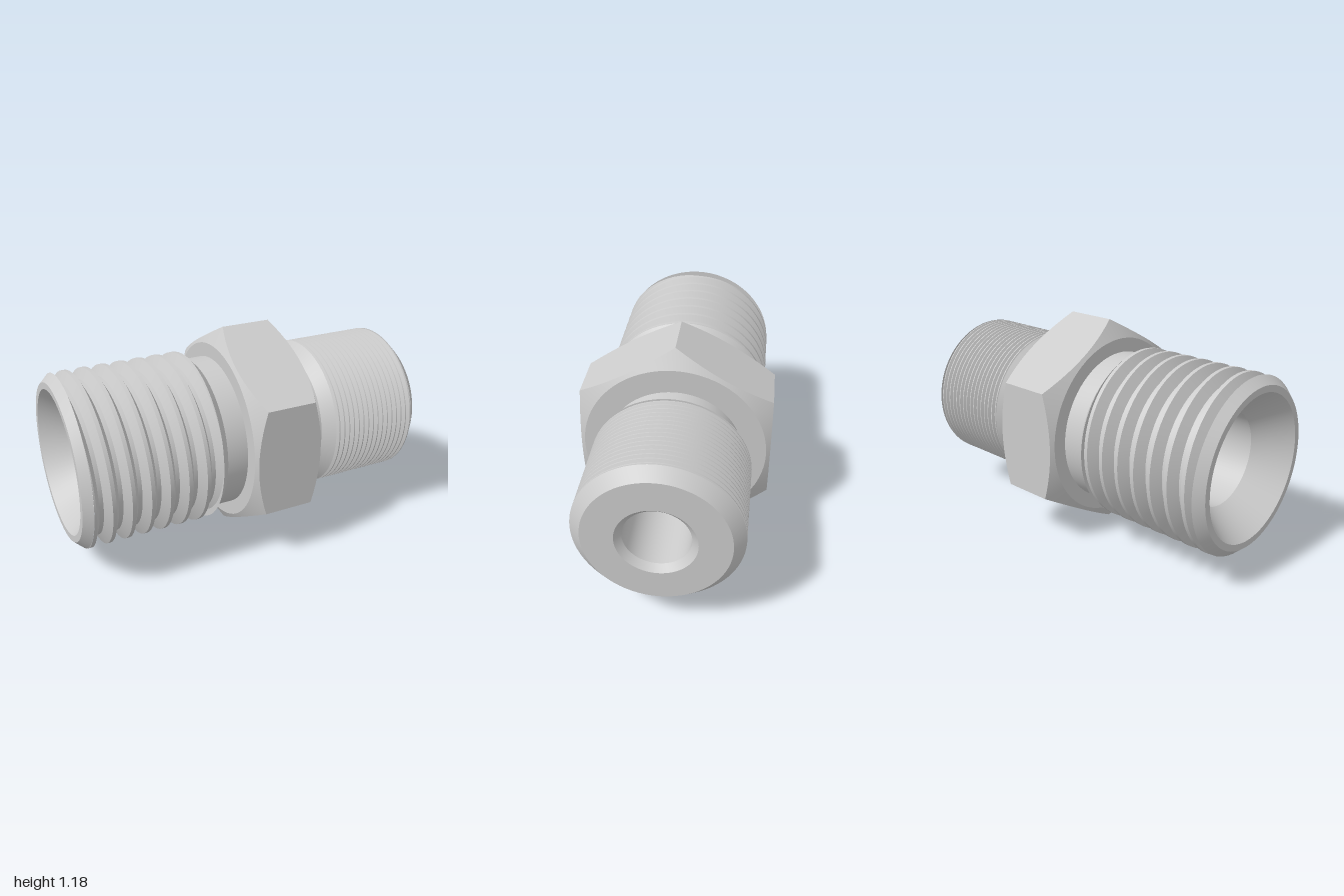
import * as THREE from 'three';
import { toCreasedNormals } from 'three/addons/utils/BufferGeometryUtils.js';

const SEGS = 72;
const AXIS_Y = 0.59;

export function createModel() {
  const group = new THREE.Group();
  const material = new THREE.MeshStandardMaterial({ color: 0xcccccc });

  const add = (name, geometry) => {
    const mesh = new THREE.Mesh(toCreasedNormals(geometry, 0.4), material);
    mesh.name = name;
    mesh.position.y = AXIS_Y;
    group.add(mesh);
  };

  // Revolves [x, radius] points around the x axis; outside runs towards +x, bores towards -x
  const revolve = (name, points) => {
    const profile = points.map(([x, r]) => new THREE.Vector2(r, x));
    add(name, new THREE.LatheGeometry(profile, SEGS).rotateZ(-Math.PI / 2));
  };

  // Skin over rows of rings, where ring(row, angle) gives [x, radius]
  const skin = (name, rows, ring) => {
    const positions = [];
    const point = (row, j) => {
      const angle = (j / SEGS) * Math.PI * 2;
      const [x, r] = ring(row, angle);
      return [x, r * Math.cos(angle), r * Math.sin(angle)];
    };
    for (let i = 0; i < rows.length - 1; i++) {
      for (let j = 0; j < SEGS; j++) {
        const a = point(rows[i], j), b = point(rows[i], j + 1);
        const c = point(rows[i + 1], j), d = point(rows[i + 1], j + 1);
        const same = (p, q) => Math.hypot(p[0] - q[0], p[1] - q[1], p[2] - q[2]) < 1e-6;
        if (!same(a, c)) positions.push(...a, ...b, ...c);
        if (!same(b, d)) positions.push(...b, ...d, ...c);
      }
    }
    const geometry = new THREE.BufferGeometry();
    geometry.setAttribute('position', new THREE.Float32BufferAttribute(positions, 3));
    add(name, geometry);
  };

  // Right-hand helical thread between x0 and x1, with a crest at crestX on top
  const thread = (name, { x0, x1, root, crest, pitch, crestX, crestFlat, rootFlat }) => {
    const radiusAt = (s) => {
      const t = (s - crestX) / pitch;
      const d = Math.abs(t - Math.round(t)) * pitch;
      const k = (d - crestFlat / 2) / (pitch / 2 - crestFlat / 2 - rootFlat / 2);
      return crest + (root - crest) * THREE.MathUtils.clamp(k, 0, 1);
    };
    const rows = [];
    const first = Math.floor((x0 - crestX) / pitch) - 2;
    const last = Math.ceil((x1 - crestX) / pitch) + 1;
    for (let n = first; n <= last; n++) {
      const c = crestX + n * pitch;
      rows.push(c - crestFlat / 2, c + crestFlat / 2,
        c + pitch / 2 - rootFlat / 2, c + pitch / 2 + rootFlat / 2);
    }
    skin(name, rows, (s, angle) => {
      const lead = (pitch * angle) / (Math.PI * 2);
      const x = THREE.MathUtils.clamp(s + lead, x0, x1);
      return [x, radiusAt(x - lead)];
    });
  };

  // Coarse threaded end: chamfered lip, thread, run-out and collar
  revolve('coarseEndLip', [[-1, 0.385], [-1, 0.42], [-0.955, 0.462], [-0.955, 0.4]]);
  thread('coarseThread', {
    x0: -0.955, x1: -0.27, root: 0.408, crest: 0.464,
    pitch: 0.1, crestX: -0.88, crestFlat: 0.02, rootFlat: 0.022,
  });
  revolve('coarseCollar', [[-0.27, 0.4], [-0.27, 0.46], [-0.225, 0.414], [-0.11, 0.414]]);

  // Hexagonal nut section with turned chamfers on both faces
  const hexRadius = (angle) => {
    const sector = Math.PI / 3;
    const a = angle - Math.floor(angle / sector + 1e-9) * sector;
    return 0.511 / Math.cos(a - sector / 2);
  };
  const faceR = 0.49, left = -0.11, right = 0.285;
  skin('hexagon', [0, 1, 2, 3, 4, 5], (row, angle) => {
    const r = hexRadius(angle);
    const setback = (r - faceR) * 0.6;
    return [
      [left, 0.4], [left, faceR], [left + setback, r],
      [right - setback, r], [right, faceR], [right, 0.35],
    ][row];
  });

  // Fine threaded end: undercut neck, thread and chamfered tip
  revolve('fineNeck', [[0.285, 0.362], [0.375, 0.362], [0.433, 0.42], [0.433, 0.385]]);
  thread('fineThread', {
    x0: 0.433, x1: 0.942, root: 0.398, crest: 0.42,
    pitch: 0.032, crestX: 0.45, crestFlat: 0.006, rootFlat: 0.004,
  });
  revolve('fineEndTip', [[0.942, 0.385], [0.942, 0.42], [1, 0.362], [1, 0.2]]);

  // Through bore: small chamfer, narrow passage, wide passage, conical seat
  revolve('bore', [
    [1, 0.2], [0.967, 0.167], [0.1, 0.167], [0.05, 0.25], [-0.82, 0.25], [-1, 0.385],
  ]);

  return group;
}
